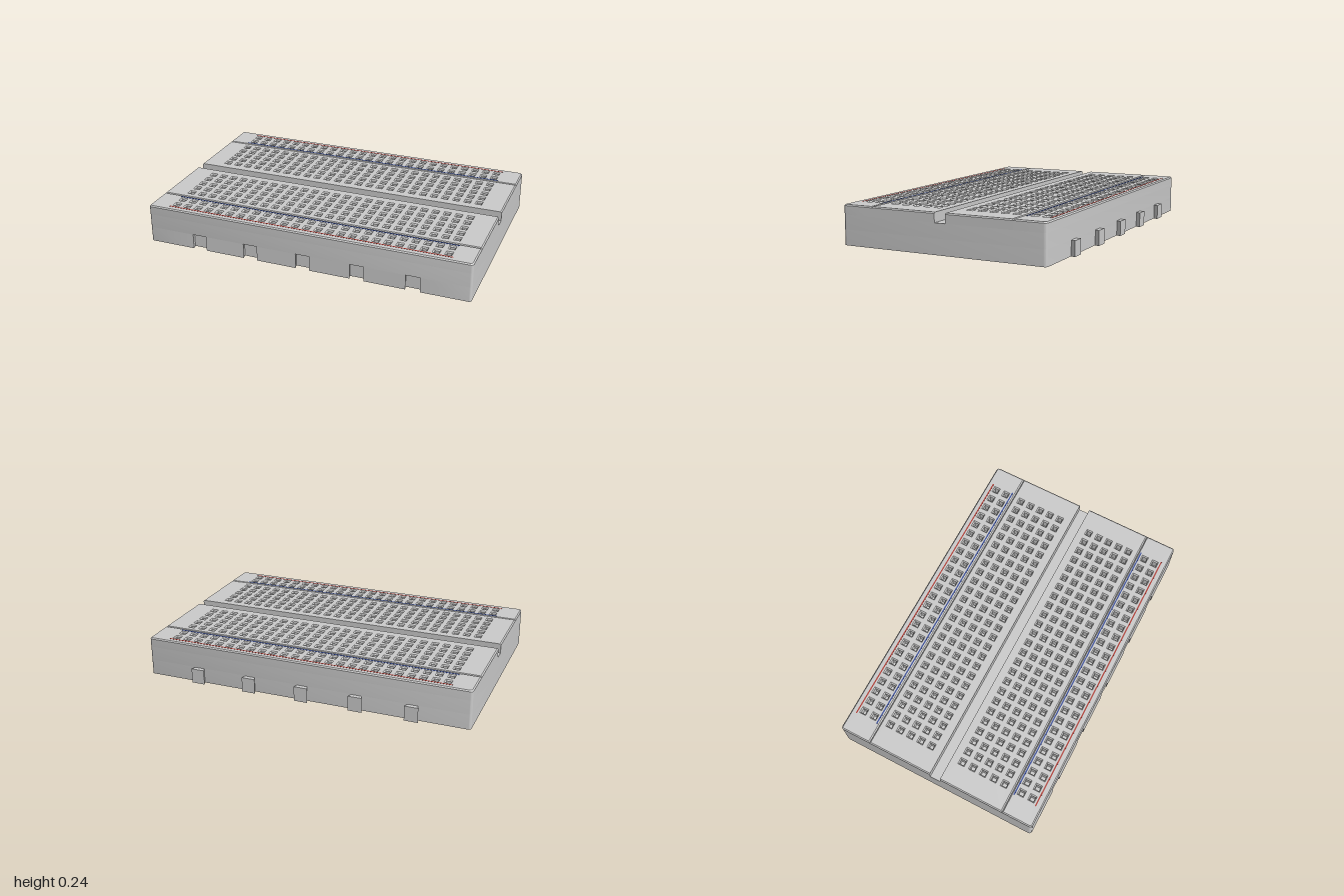
import * as THREE from 'three';
import { toCreasedNormals } from 'three/addons/utils/BufferGeometryUtils.js';

const BACK = -0.626, FRONT = 0.654, MID = 0.014;   // body limits and centre line in z
const TRENCH_Y = 0.178, TOP = 0.236, BEVEL = 0.007;
const TRENCH = 0.034, RAIL = 0.445;                // distances from MID: trench wall, rail seam
const HOLE_MID = 0.012, PITCH = 0.0704, COLUMNS = 25, HOLE = 0.014;
const CLIPS = [-2, -1, 0, 1, 2].map(i => i * 0.333);

const grey = new THREE.MeshStandardMaterial({ color: 0xcccccc });
const red = new THREE.MeshStandardMaterial({ color: 0xb04038 });
const blue = new THREE.MeshStandardMaterial({ color: 0x3a4f9a });

// Plan outline (shape y = -z); rounded back/front corners, optional dovetail notches in front
function outline(zBack, zFront, rBack, rFront, notches = []) {
  const s = new THREE.Shape();
  const y0 = -zFront, y1 = -zBack;
  const corner = (cx, cy, x, y, r) => { if (r > 0) s.quadraticCurveTo(cx, cy, x, y); };
  s.moveTo(-1 + rFront, y0);
  for (const x of notches) {
    s.lineTo(x - 0.043, y0);
    s.lineTo(x - 0.05, y0 + 0.03);
    s.lineTo(x + 0.05, y0 + 0.03);
    s.lineTo(x + 0.043, y0);
  }
  s.lineTo(1 - rFront, y0);
  corner(1, y0, 1, y0 + rFront, rFront);
  s.lineTo(1, y1 - rBack);
  corner(1, y1, 1 - rBack, y1, rBack);
  s.lineTo(-1 + rBack, y1);
  corner(-1, y1, -1, y1 - rBack, rBack);
  s.lineTo(-1, y0 + rFront);
  corner(-1, y0, -1 + rFront, y0, rFront);
  return s;
}

// Extrude a plan shape upward between two heights
function raise(shape, y0, y1, options = {}) {
  const geo = new THREE.ExtrudeGeometry(shape, {
    depth: y1 - y0, bevelEnabled: false, curveSegments: 6, ...options,
  });
  return geo.rotateX(-Math.PI / 2).translate(0, y0, 0);
}

// Top strip pierced by rows of square sockets; the bevel also flares every socket
function strip(zBack, zFront, rBack, rFront, rows, sharpZ) {
  const shape = outline(zBack, zFront, rBack, rFront);
  for (const z of rows) {
    for (let c = 0; c < COLUMNS; c++) {
      const x = (c - (COLUMNS - 1) / 2) * PITCH;
      shape.holes.push(new THREE.Path([
        new THREE.Vector2(x - HOLE, -z - HOLE), new THREE.Vector2(x - HOLE, -z + HOLE),
        new THREE.Vector2(x + HOLE, -z + HOLE), new THREE.Vector2(x + HOLE, -z - HOLE),
      ]));
    }
  }
  const geo = raise(shape, TRENCH_Y, TOP - BEVEL, {
    bevelEnabled: true, bevelSegments: 1, bevelThickness: BEVEL, bevelSize: BEVEL, bevelOffset: -BEVEL,
  });
  // Keep the trench edge square
  if (sharpZ !== undefined) {
    const p = geo.attributes.position;
    for (let i = 0; i < p.count; i++) {
      if (p.getY(i) > 0.2 && Math.abs(p.getZ(i) - sharpZ) < BEVEL + 0.001) p.setZ(i, sharpZ);
    }
  }
  return geo;
}

export function createModel() {
  const model = new THREE.Group();
  const add = (name, geo, material = grey) => {
    const mesh = new THREE.Mesh(geo, material);
    mesh.name = name;
    model.add(mesh);
  };
  const smooth = geo => toCreasedNormals(geo, 0.5);

  // Base: notched lower layer and plain upper layer
  add('notchedBase', smooth(raise(outline(BACK, FRONT, 0.02, 0.02, CLIPS), 0, 0.092)));
  add('baseUpper', smooth(raise(outline(BACK, FRONT, 0.02, 0.02), 0.092, TRENCH_Y)));

  // Socket fields beside the trench, and the outer power rails
  const fieldRows = [0, 1, 2, 3, 4].map(i => 0.105 + i * PITCH);
  const railRows = [0.498, 0.568];
  for (const side of [-1, 1]) {
    const label = side < 0 ? 'back' : 'front';
    const at = d => HOLE_MID + side * d;
    const near = MID + side * TRENCH, seam = MID + side * RAIL;
    const outer = side < 0 ? BACK : FRONT;
    add(label + 'SocketField', smooth(strip(Math.min(near, seam), Math.max(near, seam), 0, 0,
      fieldRows.map(at), near)));
    add(label + 'PowerRail', smooth(strip(Math.min(seam, outer), Math.max(seam, outer),
      side < 0 ? 0.02 : 0, side < 0 ? 0 : 0.02, railRows.map(at))));

    // Printed polarity lines
    for (const [name, d, material] of [['RedLine', 0.604, red], ['BlueLine', 0.463, blue]]) {
      const line = new THREE.BoxGeometry(1.755, 0.002, 0.008);
      add(label + name, line.translate(0, TOP, at(d)), material);
    }
  }

  // Dovetail joining tabs on the back
  const tab = new THREE.Shape([
    new THREE.Vector2(-0.03, -BACK), new THREE.Vector2(0.03, -BACK),
    new THREE.Vector2(0.041, -BACK + 0.027), new THREE.Vector2(-0.041, -BACK + 0.027),
  ]);
  for (const x of CLIPS) add('joiningTab', raise(tab, 0, 0.09).translate(x, 0, 0));

  return model;
}
